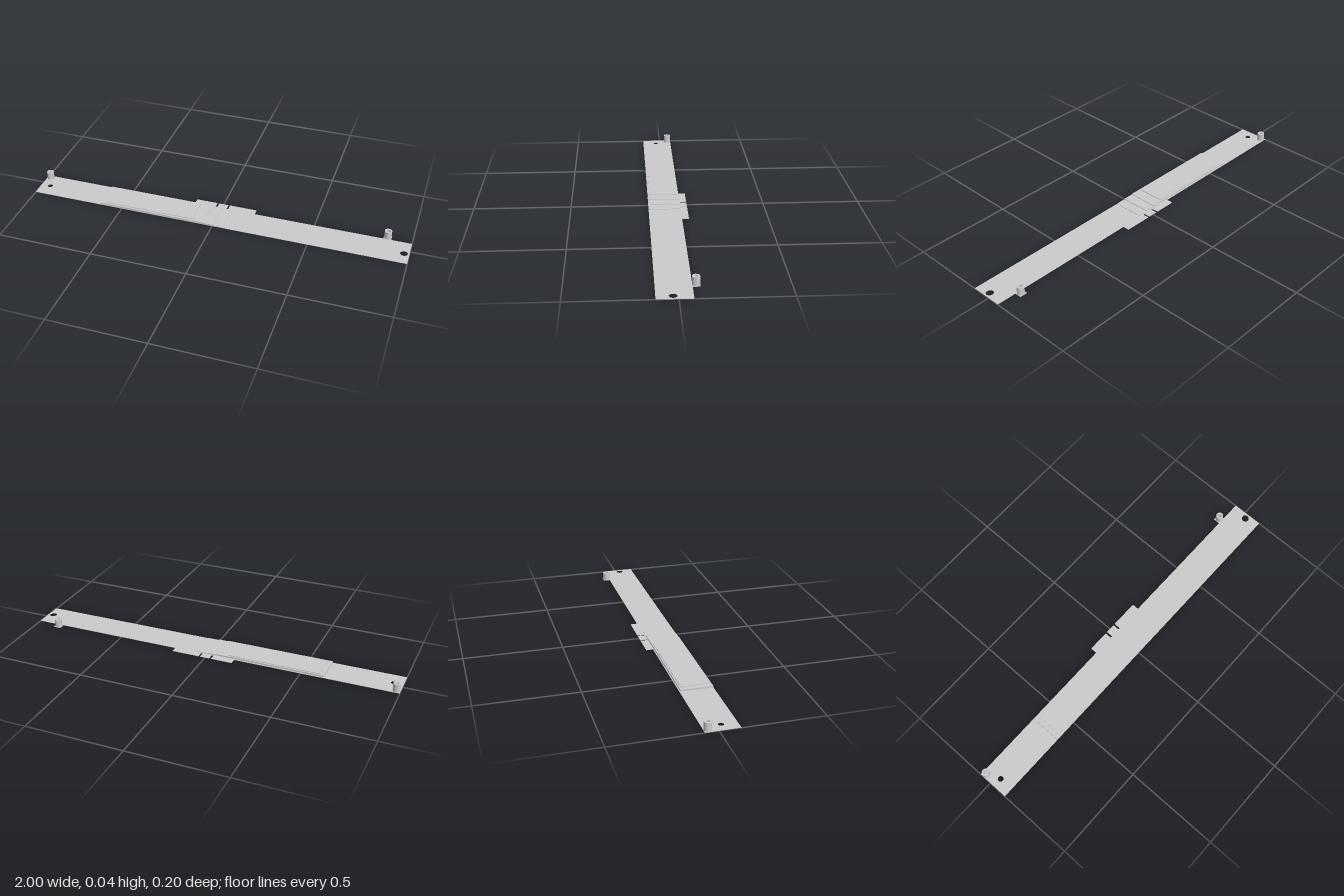
import * as THREE from 'three';

const material = new THREE.MeshStandardMaterial({ color: 0xcccccc });
const PLATE = 0.0025;

function addMesh(group, geometry, name) {
  const mesh = new THREE.Mesh(geometry, material);
  mesh.name = name;
  group.add(mesh);
  return mesh;
}

// Shape is drawn in x and -z, then laid flat with its underside on y = 0
function flatExtrude(shape, height) {
  const geometry = new THREE.ExtrudeGeometry(shape, { depth: height, bevelEnabled: false, curveSegments: 24 });
  return geometry.rotateX(-Math.PI / 2);
}

function circlePath(x, z, radius) {
  return new THREE.Path().absarc(x, -z, radius, 0, Math.PI * 2, true);
}

export function createModel() {
  const model = new THREE.Group();
  model.name = 'stripPlate';

  // Long thin plate; back edge carries a slotted tab and a small post tab
  const front = 0.1, back = -0.065, tab = -0.1;
  const outline = [
    [-1, front], [1, front], [1, back],
    [0.895, back], [0.895, tab], [0.855, tab], [0.855, back],
    [0.182, back], [0.182, tab], [0.036, tab], [0.036, back],
    [0.027, back], [0.027, tab], [-0.024, tab], [-0.024, back],
    [-0.034, back], [-0.034, tab], [-0.147, tab], [-0.147, back],
    [-1, back],
  ];
  const plate = new THREE.Shape(outline.map(([x, z]) => new THREE.Vector2(x, -z)));
  plate.holes.push(circlePath(-0.951, 0.024, 0.014), circlePath(0.973, 0.024, 0.019));
  addMesh(model, flatExtrude(plate, PLATE), 'basePlate');

  // Stepped stack of sheets: x start, x end, z back, z front, top height
  const sheets = [
    [-0.62, 0.06, -0.06, 0.099, 0.005],
    [-0.62, 0.005, -0.06, 0.099, 0.008],
    [-0.62, -0.05, -0.06, 0.099, 0.011],
    [-0.595, -0.11, -0.052, 0.088, 0.0143],
  ];
  let bottom = PLATE;
  sheets.forEach(([x0, x1, z0, z1, top], i) => {
    const sheet = addMesh(model, new THREE.BoxGeometry(x1 - x0, top - bottom, z1 - z0), `sheet${i + 1}`);
    sheet.position.set((x0 + x1) / 2, (top + bottom) / 2, (z0 + z1) / 2);
    bottom = top;
  });

  // Hollow standoff posts
  const postShape = new THREE.Shape().absarc(0, 0, 0.0185, 0, Math.PI * 2, false);
  postShape.holes.push(circlePath(0, 0, 0.009));
  const postGeometry = flatExtrude(postShape, 0.0435 - PLATE);
  for (const [x, z, name] of [[-0.98, -0.0455, 'rightPost'], [0.875, -0.081, 'leftPost']]) {
    addMesh(model, postGeometry, name).position.set(x, PLATE, z);
  }

  return model;
}
